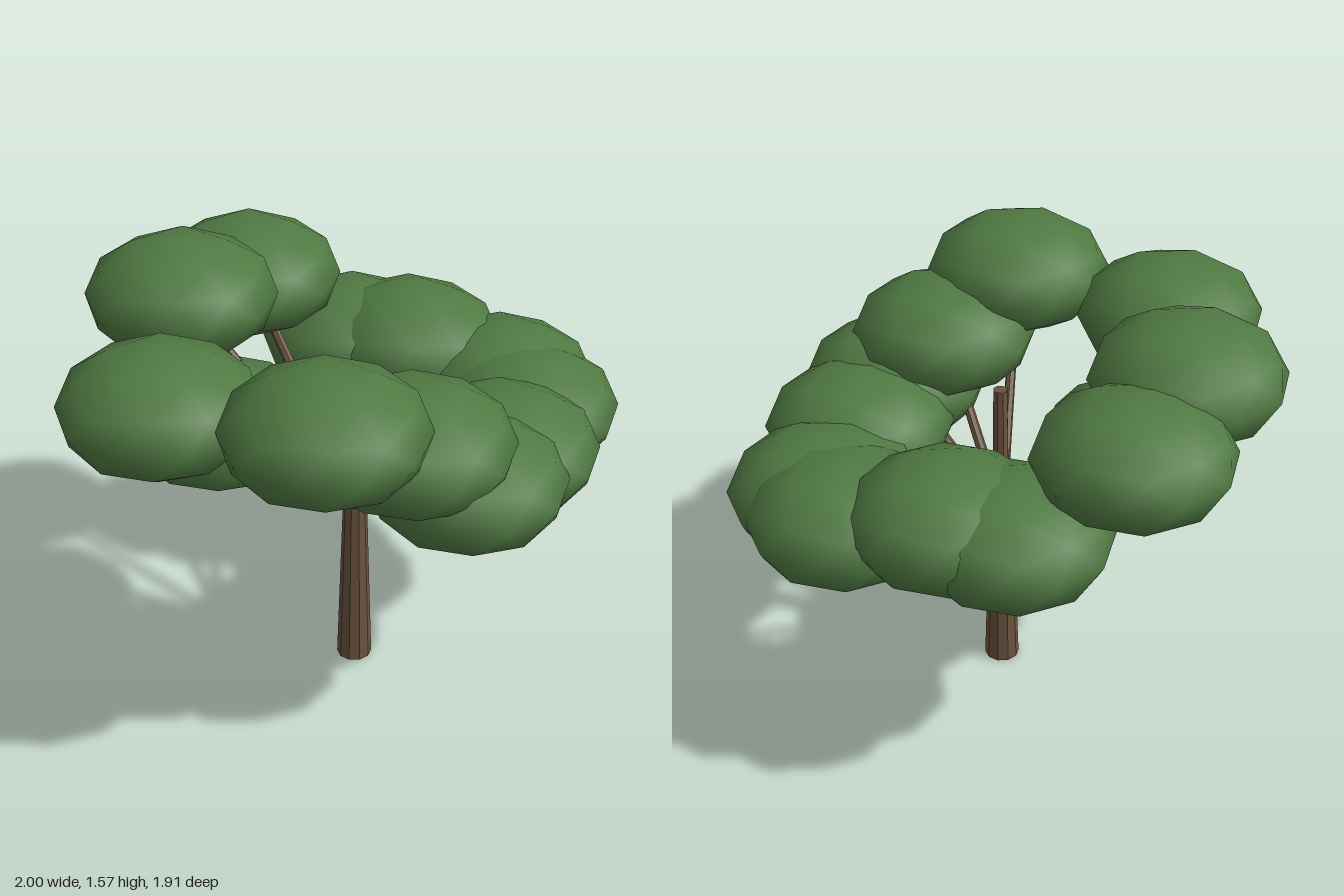
import * as THREE from 'three';

export function createModel() {
  const tree = new THREE.Group();
  tree.name = 'tree';

  const bark = new THREE.MeshStandardMaterial({ color: 0x6b543f, flatShading: true });
  bark.name = 'bark brown';
  const leaf = new THREE.MeshStandardMaterial({ color: 0x4f7942 });
  leaf.name = 'leaf green';

  const UP = new THREE.Vector3(0, 1, 0);
  const trunkX = 0.027, trunkZ = 0.08, trunkHeight = 0.67;
  const fork = new THREE.Vector3(trunkX, trunkHeight - 0.015, trunkZ);

  // Tapered limb between two points
  function limb(name, from, to, r0, r1, sides) {
    const dir = to.clone().sub(from);
    const mesh = new THREE.Mesh(new THREE.CylinderGeometry(r1, r0, dir.length(), sides), bark);
    mesh.position.copy(from).addScaledVector(dir, 0.5);
    mesh.quaternion.setFromUnitVectors(UP, dir.normalize());
    mesh.name = name;
    tree.add(mesh);
  }

  // Trunk and the short upright leader above it
  limb('trunk', new THREE.Vector3(trunkX, 0, trunkZ), new THREE.Vector3(trunkX, trunkHeight, trunkZ), 0.064, 0.043, 10);
  limb('leader', fork, new THREE.Vector3(trunkX, 1.17, trunkZ), 0.032, 0.026, 8);

  // Flattened icosphere with one corner pointing straight up
  const clump = new THREE.IcosahedronGeometry(1, 1);
  clump.rotateZ(-Math.atan(2 / (1 + Math.sqrt(5))));
  clump.scale(0.337, 0.203, 0.337);

  // Leaf clump centres, each carried by its own branch
  const centres = [
    [-0.15, 1.28, -0.62],
    [-0.46, 1.365, -0.37],
    [-0.68, 1.27, 0.2],
    [-0.255, 1.333, 0.613],
    [-0.4, 0.975, -0.12],
    [0.223, 1.01, -0.525],
    [0.4, 1.035, -0.39],
    [0.668, 0.955, -0.137],
    [0.678, 0.94, 0.053],
    [0.46, 0.98, 0.35],
    [0.25, 1.02, 0.555],
    [0.068, 1.18, 0.535],
  ];
  centres.forEach(([x, y, z], i) => {
    const centre = new THREE.Vector3(x, y, z);
    limb(`branch${i + 1}`, fork, centre, 0.022, 0.016, 7);
    const leaves = new THREE.Mesh(clump, leaf);
    leaves.position.copy(centre);
    leaves.name = `leafClump${i + 1}`;
    tree.add(leaves);
  });

  return tree;
}
